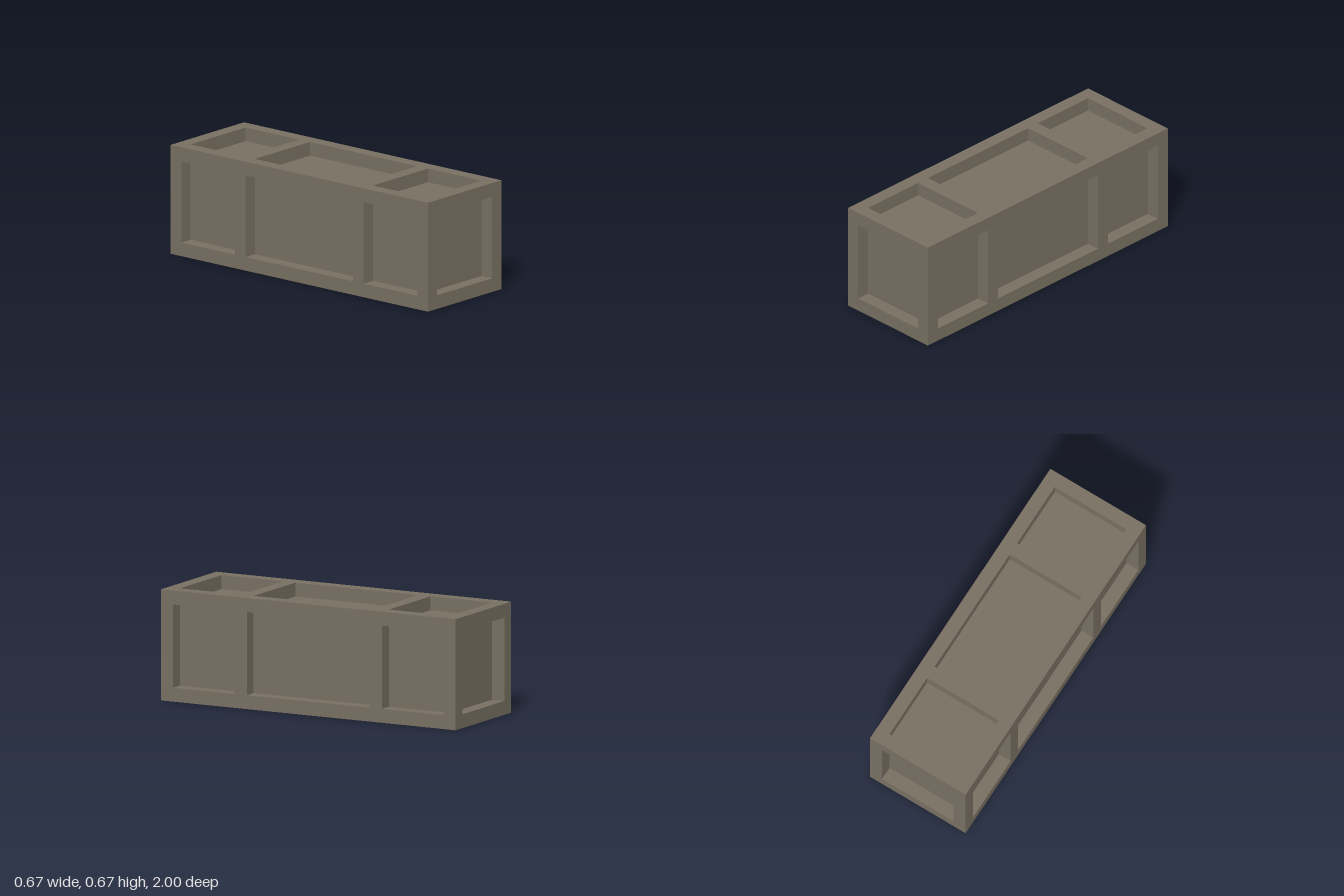
import * as THREE from 'three';

export function createModel() {
  const crate = new THREE.Group();
  crate.name = 'crate';
  const wood = new THREE.MeshStandardMaterial({ color: 0x787062 });
  wood.name = 'weathered grey brown';

  const T = 1 / 12;         // thickness of every frame bar
  const S = 2 / 3;          // crate width and height
  const L = 2;              // crate length
  const inner = S - 2 * T;  // opening between bars
  const edge = (S - T) / 2; // bar centre, measured from the crate axis

  const box = (name, w, h, d, x, y, z) => {
    const mesh = new THREE.Mesh(new THREE.BoxGeometry(w, h, d), wood);
    mesh.name = name;
    mesh.position.set(x, y + S / 2, z);
    crate.add(mesh);
  };

  // Recessed panels on all six sides
  box('recessedPanels', inner, inner, L - 2 * T, 0, 0, 0);

  // Long rails along the four edges
  for (const sx of [-1, 1])
    for (const sy of [-1, 1]) box('longRail', T, T, L, sx * edge, sy * edge, 0);

  // Four square hoops: two ends and two dividers
  const end = (L - T) / 2, divider = 5.5 / 12;
  for (const z of [-end, -divider, divider, end]) {
    for (const s of [-1, 1]) {
      box('upright', T, inner, T, s * edge, 0, z);
      box('crossBar', inner, T, T, 0, s * edge, z);
    }
  }
  return crate;
}
